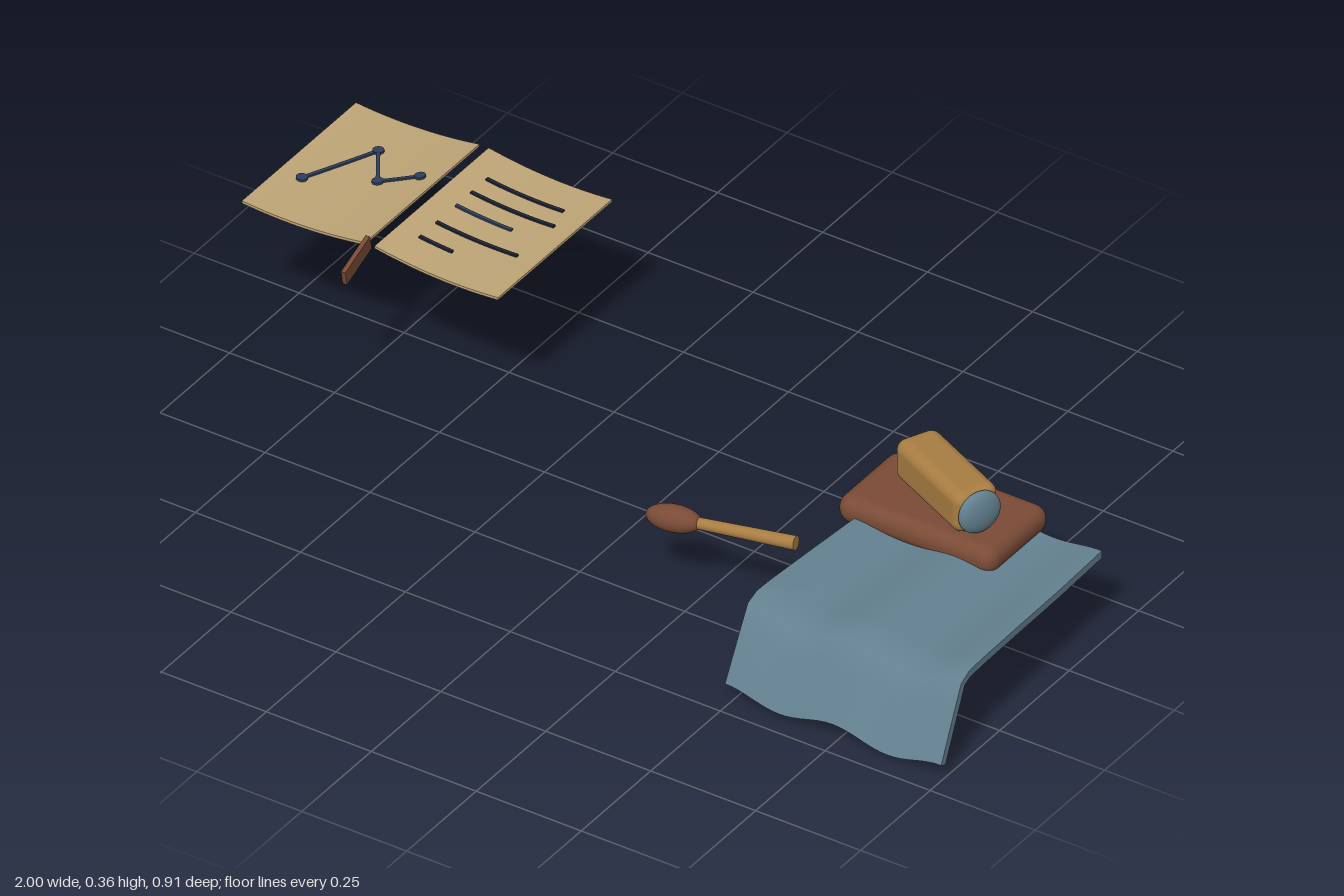
import * as THREE from 'three';
import { RoundedBoxGeometry } from 'three/addons/geometries/RoundedBoxGeometry.js';

const mat = (name, color) => Object.assign(new THREE.MeshStandardMaterial({ color }), { name });

export function createModel() {
  const root = new THREE.Group();
  root.name = 'deskItems';
  const paper = mat('paper', 0xbfa577);
  const cloth = mat('slateBlue', 0x648190);
  const brown = mat('brown', 0x7a4b36);
  const ochre = mat('ochre', 0xa87d42);
  const ink = mat('darkInk', 0x1d2433);
  const blueInk = mat('blueInk', 0x2c3f5e);

  const add = (name, geo, material, x = 0, y = 0, z = 0, parent = root) => {
    const m = new THREE.Mesh(geo, material);
    m.name = name;
    m.position.set(x, y, z);
    parent.add(m);
    return m;
  };
  const warp = (geo, rule) => {
    const p = geo.attributes.position, v = new THREE.Vector3();
    for (let i = 0; i < p.count; i++) {
      v.fromBufferAttribute(p, i);
      rule(v);
      p.setXYZ(i, v.x, v.y, v.z);
    }
    geo.computeVertexNormals();
    return geo;
  };

  // Open notebook: two sagging pages, with ink following the same curve
  const book = new THREE.Group();
  book.name = 'notebook';
  root.add(book);
  const spineX = -0.6955;
  const bend = (geo) => warp(geo, (v) => {
    const u = (Math.abs(v.x - spineX) - 0.011) / 0.294;
    v.y += 0.355 - 0.053 * u + 0.041 * u * u;
  });
  for (const s of [-1, 1]) {
    const page = new THREE.BoxGeometry(0.294, 0.006, 0.41, 16, 1, 1);
    page.translate(spineX + s * 0.158, 0, -0.25);
    add(s < 0 ? 'rightPage' : 'leftPage', bend(page), paper, 0, 0, 0, book);
  }
  const stroke = (name, x1, z1, x2, z2, w, material) => {
    const g = new THREE.BoxGeometry(Math.hypot(x2 - x1, z2 - z1), 0.005, w, 8, 1, 1);
    g.rotateY(-Math.atan2(z2 - z1, x2 - x1));
    g.translate((x1 + x2) / 2, 0.0045, (z1 + z2) / 2);
    add(name, bend(g), material, 0, 0, 0, book);
  };

  // Written lines: z, end x
  [[-0.37, -0.45], [-0.315, -0.435], [-0.26, -0.5], [-0.19, -0.44], [-0.13, -0.555]]
    .forEach(([z, end], i) => stroke('writtenLine', -0.633, z, end, z, 0.008, i === 2 ? blueInk : ink));

  // Plotted chart with round nodes
  const nodes = [[-0.947, -0.18], [-0.873, -0.343], [-0.813, -0.25], [-0.747, -0.303]];
  nodes.forEach(([x, z], i) => {
    const dot = new THREE.CylinderGeometry(0.012, 0.012, 0.006, 16);
    dot.translate(x, 0.005, z);
    add('chartNode', bend(dot), blueInk, 0, 0, 0, book);
    if (i) stroke('chartLine', ...nodes[i - 1], x, z, 0.008, blueInk);
  });

  // Bookmark hanging out of the spine
  const mark = add('bookmark', new THREE.BoxGeometry(0.01, 0.034, 0.108), brown, -0.702, 0.34, -0.006, book);
  mark.rotation.set(0.22, 0.1, 0, 'YXZ');

  // Draped cloth: a slab swept along a z-y profile, rippled across its width
  const profile = [[-0.165, 0.172], [0, 0.173], [0.15, 0.178], [0.3, 0.182], [0.345, 0.181],
    [0.37, 0.171], [0.395, 0.122], [0.42, 0.072], [0.446, 0.02]];
  const last = profile.length - 1;
  const drape = warp(new THREE.BoxGeometry(1, 1, 1, 32, 1, last), (v) => {
    const i = Math.round((v.z + 0.5) * last);
    const u = v.x + 0.5, side = v.y * 0.017;
    const [z, y] = profile[i];
    const a = profile[Math.max(i - 1, 0)], b = profile[Math.min(i + 1, last)];
    const len = Math.hypot(b[0] - a[0], b[1] - a[1]);
    const t = (z + 0.165) / 0.611;
    const ripple = (0.006 + 0.006 * t) * Math.cos(4 * Math.PI * u);
    v.set(0.738 + (u - 0.5) * (0.462 + 0.053 * t),
      y + ripple + side * (b[0] - a[0]) / len,
      z - side * (b[1] - a[1]) / len);
  });
  add('drapedCloth', drape, cloth);

  // Rounded slab resting on the cloth
  add('slab', new RoundedBoxGeometry(0.375, 0.064, 0.218, 6, 0.03), brown, 0.638, 0.193, -0.092);

  // Block with a domed end cap
  const block = new THREE.Group();
  block.name = 'block';
  block.position.set(0.645, 0.272, -0.095);
  block.rotation.y = -0.44;
  root.add(block);
  add('blockBody', new RoundedBoxGeometry(0.25, 0.095, 0.1, 6, 0.024), ochre, 0, 0, 0, block);
  add('endCap', new THREE.SphereGeometry(0.048, 32, 20), cloth, 0.126, 0, 0, block).scale.x = 0.38;

  // Wooden tool: tapered handle with an oval head
  const tool = new THREE.Group();
  tool.name = 'tool';
  const from = new THREE.Vector3(0.195, 0.183, 0.206);
  const dir = new THREE.Vector3(0.46, 0.202, 0.167).sub(from);
  tool.position.copy(from);
  tool.quaternion.setFromUnitVectors(new THREE.Vector3(0, 1, 0), dir.clone().normalize());
  root.add(tool);
  const reach = dir.length();
  add('handle', new THREE.CylinderGeometry(0.015, 0.012, reach - 0.03, 20), ochre, 0, reach / 2 + 0.015, 0, tool);
  add('head', new THREE.SphereGeometry(0.029, 28, 20), brown, 0, 0, 0, tool).scale.y = 2.1;

  return root;
}
